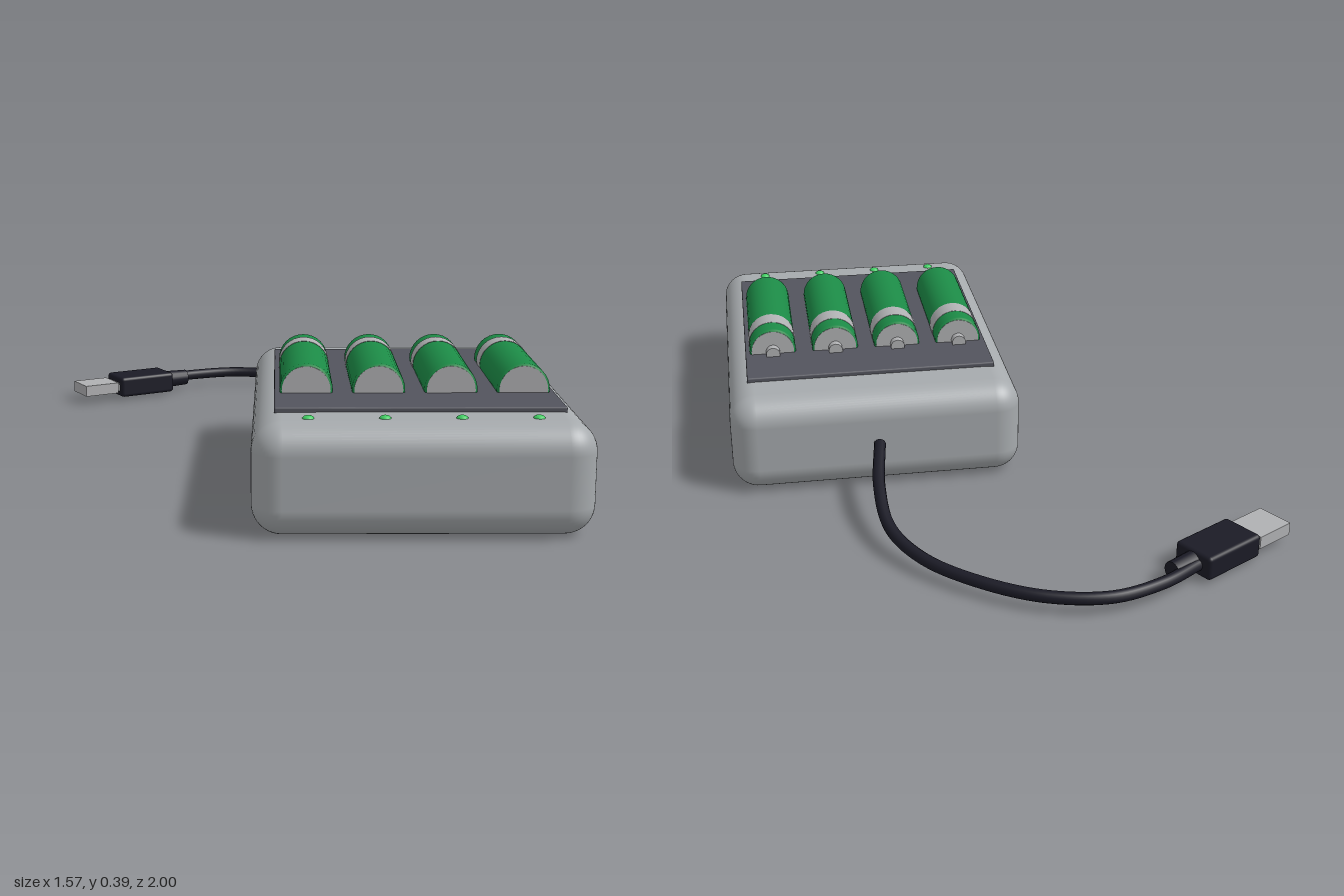
import * as THREE from 'three';
import { RoundedBoxGeometry } from 'three/addons/geometries/RoundedBoxGeometry.js';

const mat = (name, color) => {
  const m = new THREE.MeshStandardMaterial({ color });
  m.name = name;
  return m;
};

export function createModel() {
  const model = new THREE.Group();
  model.name = 'batteryCharger';

  const shell = mat('shell grey', 0xa6aaad);
  const tray = mat('tray grey', 0x53545d);
  const green = mat('battery green', 0x1c8a46);
  const silver = mat('silver', 0xb0b1b3);
  const black = mat('cable black', 0x1b1b26);
  const led = mat('indicator green', 0x3fce62);

  const add = (parent, name, geometry, material, x = 0, y = 0, z = 0) => {
    const m = new THREE.Mesh(geometry, material);
    m.name = name;
    m.position.set(x, y, z);
    parent.add(m);
    return m;
  };
  // Cylinder lying along z
  const rod = (r, z0, z1, sides = 32) =>
    new THREE.CylinderGeometry(r, r, z1 - z0, sides).rotateX(Math.PI / 2).translate(0, 0, (z0 + z1) / 2);

  // Housing and battery tray
  add(model, 'housing', new RoundedBoxGeometry(0.89, 0.3, 1.19, 6, 0.08), shell, 0.335, 0.15, 0.405);
  add(model, 'tray', new RoundedBoxGeometry(0.77, 0.024, 0.85, 2, 0.005), tray, 0.335, 0.301, 0.405);

  // Battery sleeve with softened rims, open towards its inset end discs
  const R = 0.073;
  const sleeve = new THREE.LatheGeometry([
    [0.064, 0.163], [0.069, 0.164], [R - 0.001, 0.167], [R, 0.172],
    [R, 0.641], [R - 0.001, 0.646], [0.069, 0.649], [0.064, 0.65],
  ].map(([r, z]) => new THREE.Vector2(r, z)), 32).rotateX(Math.PI / 2);
  const core = rod(0.067, 0.162, 0.651);
  const band = rod(R + 0.001, 0.227, 0.296);
  const nub = rod(0.022, 0.136, 0.165, 20);

  // Four batteries, each with its indicator light
  for (let i = 0; i < 4; i++) {
    const x = 0.038 + i * 0.1983;
    const battery = new THREE.Group();
    battery.name = 'battery' + (i + 1);
    battery.position.set(x, 0.32, 0);
    add(battery, 'sleeve', sleeve, green);
    add(battery, 'endCaps', core, silver);
    add(battery, 'band', band, silver);
    add(battery, 'positiveTerminal', nub, silver);
    model.add(battery);
    add(model, 'indicator' + (i + 1), new THREE.SphereGeometry(0.016, 16, 10).scale(1, 0.6, 1), led, x, 0.299, 0.9);
  }

  // Cable
  const path = new THREE.CatmullRomCurve3([
    [0.335, 0.152, -0.205], [0.358, 0.108, -0.4], [0.345, 0.066, -0.57], [0.27, 0.044, -0.71],
    [0.13, 0.04, -0.85], [-0.03, 0.042, -0.95], [-0.2, 0.045, -0.985], [-0.35, 0.045, -0.94],
    [-0.47, 0.045, -0.865],
  ].map((p) => new THREE.Vector3(...p)));
  add(model, 'cable', new THREE.TubeGeometry(path, 80, 0.018, 12), black);
  for (const t of [0, 1]) {
    const cap = add(model, 'cableEnd', new THREE.CircleGeometry(0.018, 12), black);
    cap.position.copy(path.getPoint(t));
    const dir = path.getTangent(t).multiplyScalar(t ? 1 : -1);
    cap.lookAt(cap.position.clone().add(dir));
  }

  // Plug, its local +x pointing back along the cable
  const plug = new THREE.Group();
  plug.name = 'plug';
  plug.position.set(-0.55, 0.045, -0.795);
  plug.rotation.y = Math.PI / 6;
  add(plug, 'grip', new RoundedBoxGeometry(0.21, 0.072, 0.132, 3, 0.012), black);
  add(plug, 'connector', new THREE.BoxGeometry(0.126, 0.038, 0.112), silver, -0.178);
  add(plug, 'connectorNeck', new THREE.BoxGeometry(0.03, 0.03, 0.09), silver, -0.11);
  add(plug, 'strainRelief', new THREE.CylinderGeometry(0.028, 0.031, 0.09, 16).rotateZ(-Math.PI / 2), black, 0.14);
  model.add(plug);

  return model;
}
